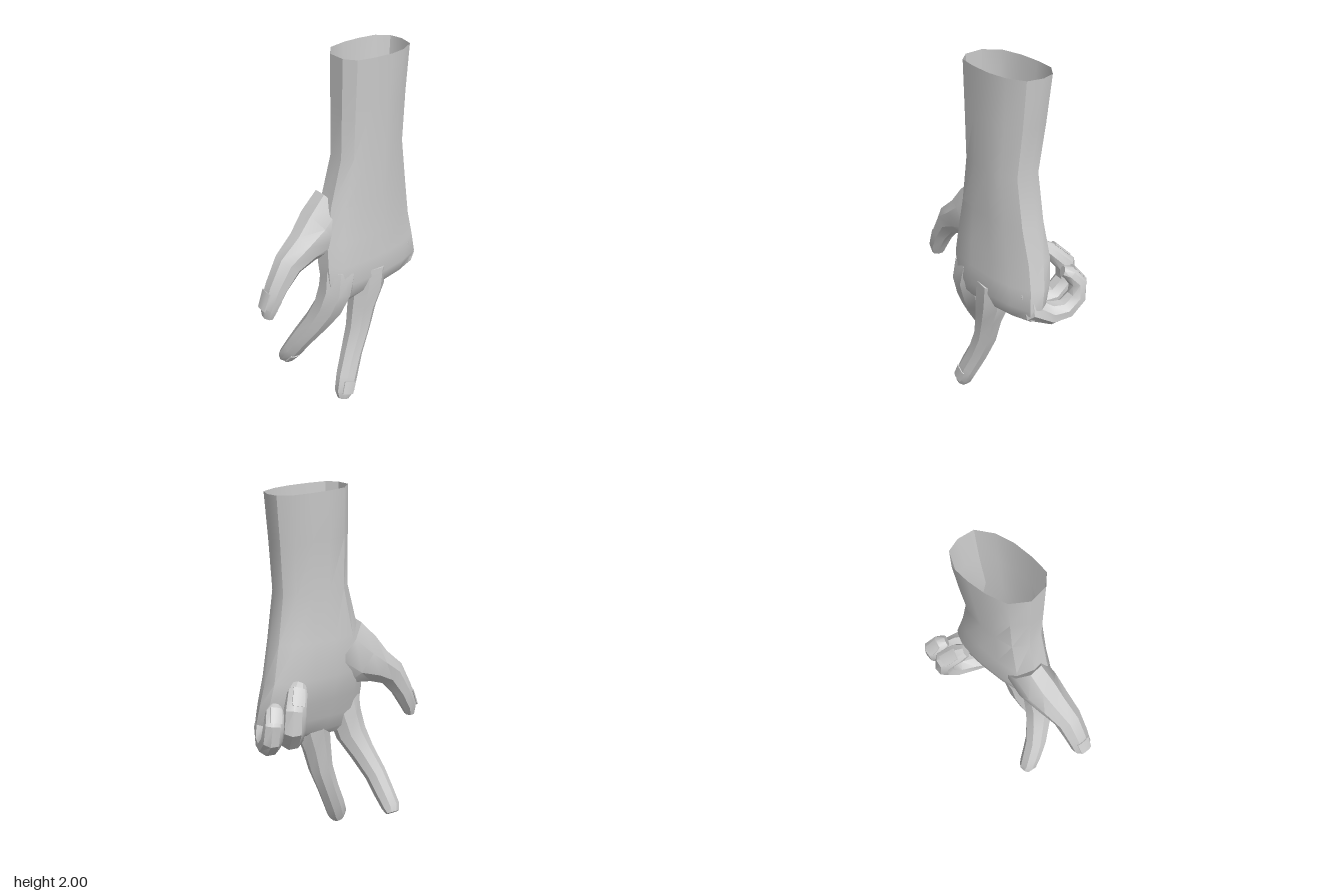
import * as THREE from 'three';
import { toCreasedNormals } from 'three/addons/utils/BufferGeometryUtils.js';

const skin = new THREE.MeshStandardMaterial({ color: 0xcccccc, side: THREE.DoubleSide });
const V = (x, y, z) => new THREE.Vector3(x, y, z);

// Skin a list of equal-length rings; the last ring is closed, the first optionally.
function loft(rings, capStart, name) {
  const pos = [];
  const tri = (a, b, c) => { for (const p of [a, b, c]) pos.push(p.x, p.y, p.z); };
  const middle = (ring) => ring.reduce((s, p) => s.add(p), V(0, 0, 0)).divideScalar(ring.length);
  const n = rings[0].length;
  for (let r = 0; r < rings.length - 1; r++) {
    const a = rings[r], b = rings[r + 1];
    for (let i = 0; i < n; i++) {
      const j = (i + 1) % n;
      tri(a[i], a[j], b[j]);
      tri(a[i], b[j], b[i]);
    }
  }
  const last = rings[rings.length - 1], end = middle(last), start = middle(rings[0]);
  for (let i = 0; i < n; i++) {
    const j = (i + 1) % n;
    tri(end, last[i], last[j]);
    if (capStart) tri(start, rings[0][j], rings[0][i]);
  }
  const geo = new THREE.BufferGeometry();
  geo.setAttribute('position', new THREE.Float32BufferAttribute(pos, 3));
  const mesh = new THREE.Mesh(toCreasedNormals(geo, 0.62), skin);
  mesh.name = name;
  return mesh;
}

// Frames along a joint list [x, y, z, half width, half thickness].
function frames(joints, axis) {
  const c = joints.map((j) => V(j[0], j[1], j[2]));
  return c.map((p, i) => {
    const t = c[Math.min(i + 1, c.length - 1)].clone().sub(c[Math.max(i - 1, 0)]).normalize();
    const w = axis.clone().addScaledVector(t, -axis.dot(t)).normalize();
    return { p, w, n: t.clone().cross(w), rw: joints[i][3], rn: joints[i][4] };
  });
}

// Eight-sided ring in a frame.
function ring({ p, w, n, rw, rn }) {
  return Array.from({ length: 8 }, (_, k) => {
    const a = (k + 0.5) * Math.PI / 4;
    return p.clone().addScaledVector(w, Math.cos(a) * rw * 1.08).addScaledVector(n, Math.sin(a) * rn * 1.08);
  });
}

// Finger with a thin nail plate laid over its last segment.
function finger(name, axis, joints) {
  const g = new THREE.Group();
  g.name = name;
  const f = frames(joints, axis);
  g.add(loft(f.map(ring), true, name + 'Skin'));
  const [a, b] = f.slice(-3, -1);
  const plate = (s, k) => {
    const p = a.p.clone().lerp(b.p, k).addScaledVector(s.n, THREE.MathUtils.lerp(a.rn, b.rn, k) * 0.97);
    return ring({ p, w: s.w, n: s.n, rw: s.rw * 0.62, rn: 0.008 });
  };
  g.add(loft([plate(a, 0.3), plate(b, 1.1)], true, name + 'Nail'));
  return g;
}

// Wrist and palm outline, running from the little-finger side over the back of the hand.
const outline = [
  [1, -0.1], [0.95, 0.5], [0.6, 0.86], [0.2, 1], [-0.3, 1], [-0.72, 0.9], [-0.95, 0.5],
  [-1, -0.2], [-0.75, -0.75], [-0.3, -0.95], [0.15, -1], [0.6, -0.95], [0.9, -0.6],
];
// [y at right, y at left, x min, x max, centre z at right, centre z at left, half thickness]
const sections = [
  [2.0, 1.985, -0.07, 0.38, 0.09, 0.03, 0.14],
  [1.75, 1.74, -0.07, 0.36, 0.09, 0.04, 0.13],
  [1.48, 1.48, -0.07, 0.34, 0.09, 0.06, 0.12],
  [1.22, 1.22, -0.13, 0.38, 0.085, 0.05, 0.125],
  [1.02, 1.02, -0.165, 0.42, 0.1, 0.03, 0.13],
  [0.88, 0.88, -0.17, 0.45, 0.125, 0.04, 0.12],
  [0.76, 0.77, -0.165, 0.465, 0.145, 0.06, 0.1],
  [0.67, 0.7, -0.145, 0.45, 0.145, 0.06, 0.075],
  [0.625, 0.675, -0.1, 0.41, 0.14, 0.06, 0.04],
];

export function createModel() {
  const hand = new THREE.Group();
  hand.name = 'hand';
  const L = THREE.MathUtils.lerp;

  // Forearm and palm, open at the top
  hand.add(loft(sections.map(([yr, yl, x0, x1, zr, zl, h]) => outline.map(([u, v]) => {
    const k = (u + 1) / 2;
    return V(L(x0, x1, k), L(yr, yl, k), L(zr, zl, k) + h * v);
  })), false, 'palmAndForearm'));

  const X = V(1, 0, 0), Z = V(0, 0, 1);

  // Thumb, spreading from the side of the palm
  hand.add(finger('thumb', Z, [
    [-0.03, 1.15, 0.06, 0.09, 0.16],
    [-0.14, 1.06, 0.07, 0.1, 0.145],
    [-0.25, 1.0, 0.085, 0.085, 0.095],
    [-0.35, 0.935, 0.1, 0.07, 0.075],
    [-0.425, 0.82, 0.105, 0.062, 0.055],
    [-0.475, 0.715, 0.11, 0.055, 0.043],
    [-0.485, 0.66, 0.11, 0.036, 0.026],
  ]));

  // Two walking fingers
  hand.add(finger('indexFinger', X, [
    [-0.06, 0.84, 0.14, 0.1, 0.08],
    [-0.085, 0.72, 0.14, 0.087, 0.09],
    [-0.115, 0.6, 0.115, 0.082, 0.075],
    [-0.165, 0.49, 0.07, 0.066, 0.065],
    [-0.22, 0.37, 0.01, 0.058, 0.057],
    [-0.25, 0.27, -0.045, 0.054, 0.052],
    [-0.27, 0.2, -0.09, 0.05, 0.042],
    [-0.272, 0.168, -0.115, 0.036, 0.028],
  ]));
  hand.add(finger('middleFinger', X, [
    [0.13, 0.8, 0.12, 0.1, 0.09],
    [0.12, 0.67, 0.125, 0.095, 0.085],
    [0.09, 0.55, 0.13, 0.077, 0.068],
    [0.064, 0.41, 0.135, 0.065, 0.062],
    [0.01, 0.26, 0.155, 0.058, 0.054],
    [-0.038, 0.14, 0.185, 0.058, 0.05],
    [-0.068, 0.055, 0.207, 0.055, 0.042],
    [-0.078, 0.012, 0.213, 0.034, 0.028],
  ]));

  // Two fingers curled back toward the palm
  hand.add(finger('ringFinger', X, [
    [0.25, 0.82, 0.1, 0.085, 0.075],
    [0.28, 0.73, 0.07, 0.08, 0.07],
    [0.31, 0.72, -0.03, 0.066, 0.062],
    [0.335, 0.74, -0.125, 0.06, 0.055],
    [0.345, 0.82, -0.19, 0.058, 0.052],
    [0.335, 0.91, -0.185, 0.055, 0.05],
    [0.295, 0.985, -0.12, 0.05, 0.042],
    [0.27, 1.015, -0.085, 0.034, 0.028],
  ]));
  hand.add(finger('littleFinger', X, [
    [0.36, 0.84, 0.06, 0.08, 0.07],
    [0.4, 0.735, 0.055, 0.07, 0.065],
    [0.435, 0.705, -0.03, 0.06, 0.055],
    [0.452, 0.715, -0.11, 0.056, 0.05],
    [0.458, 0.775, -0.175, 0.053, 0.047],
    [0.45, 0.855, -0.185, 0.05, 0.044],
    [0.43, 0.91, -0.145, 0.045, 0.038],
    [0.415, 0.925, -0.11, 0.03, 0.025],
  ]));
  return hand;
}
